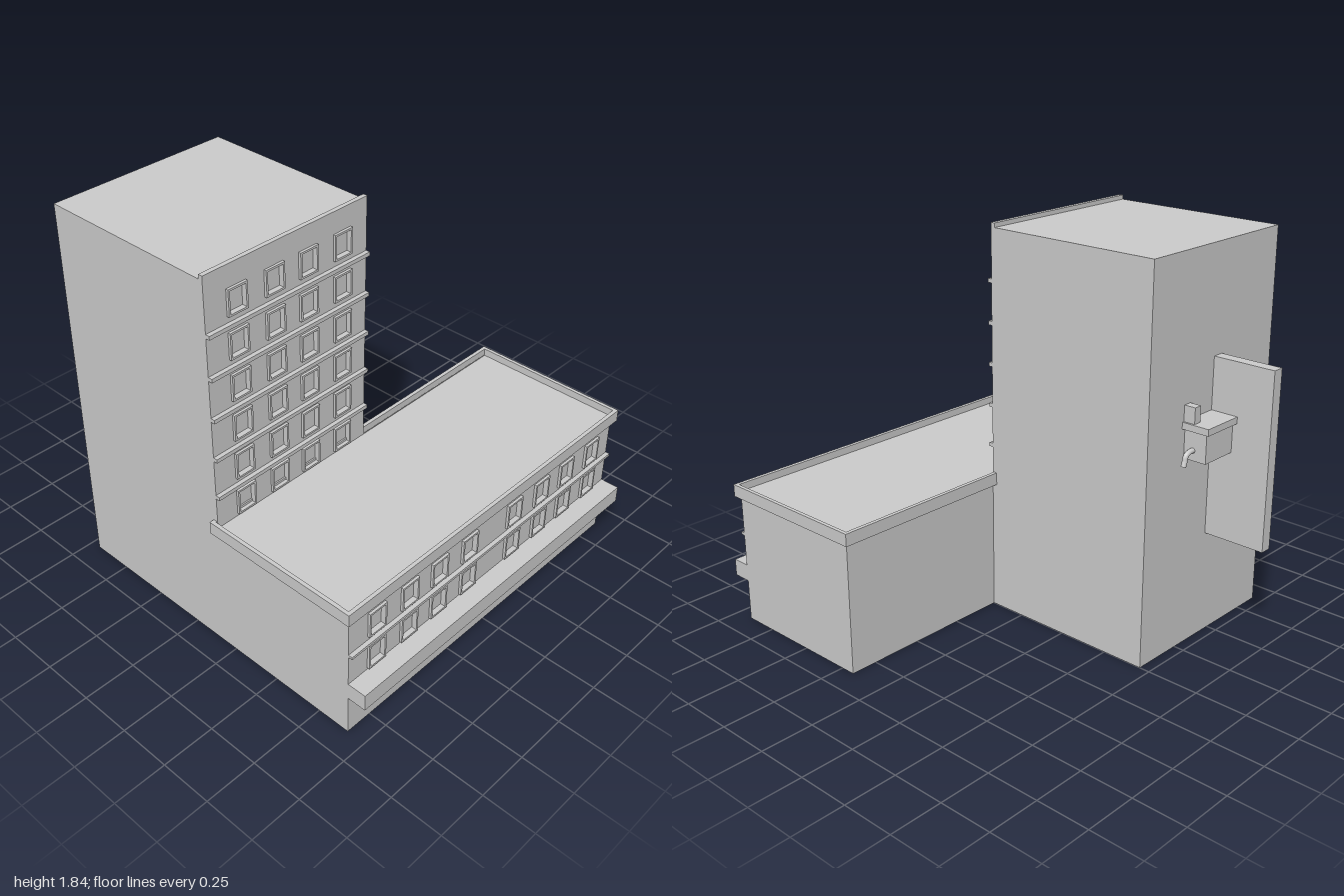
import * as THREE from 'three';

const mat = new THREE.MeshStandardMaterial({ color: 0xcccccc, side: THREE.DoubleSide });

function add(parent, name, geometry, x = 0, y = 0, z = 0) {
  const mesh = new THREE.Mesh(geometry, mat);
  mesh.name = name;
  mesh.position.set(x, y, z);
  parent.add(mesh);
  return mesh;
}

// Solid box given by its limits; hollow boxes have no back face
function box(parent, name, [x0, x1], [y0, y1], [z0, z1], hollow = false) {
  const g = new THREE.BoxGeometry(x1 - x0, y1 - y0, z1 - z0);
  if (hollow) g.setIndex(Array.from(g.index.array).slice(0, 30));
  return add(parent, name, g, (x0 + x1) / 2, (y0 + y1) / 2, (z0 + z1) / 2);
}

function rect(x0, x1, y0, y1, Type = THREE.Shape) {
  return new Type([[x0, y0], [x1, y0], [x1, y1], [x0, y1]].map(p => new THREE.Vector2(...p)));
}

// Flat upright wall facing +z / -z
function wallZ(parent, name, [x0, x1], [y0, y1], z, back) {
  const m = add(parent, name, new THREE.PlaneGeometry(x1 - x0, y1 - y0), (x0 + x1) / 2, (y0 + y1) / 2, z);
  if (back) m.rotation.y = Math.PI;
}

// Flat upright wall facing sign * x
function wallX(parent, name, x, [y0, y1], [z0, z1], sign) {
  const m = add(parent, name, new THREE.PlaneGeometry(z1 - z0, y1 - y0), x, (y0 + y1) / 2, (z0 + z1) / 2);
  m.rotation.y = sign * Math.PI / 2;
}

// Horizontal slab surface facing up
function deck(parent, name, [x0, x1], y, [z0, z1]) {
  const m = add(parent, name, new THREE.PlaneGeometry(x1 - x0, z1 - z0), (x0 + x1) / 2, y, (z0 + z1) / 2);
  m.rotation.x = -Math.PI / 2;
}

// Projecting frame with a pane set back behind it
function framedWindow(parent, [x0, x1, y0, y1], z) {
  const win = new THREE.Group();
  win.name = 'window';
  const t = 0.009, depth = 0.026;
  const ring = rect(x0, x1, y0, y1);
  ring.holes.push(rect(x0 + t, x1 - t, y0 + t, y1 - t, THREE.Path));
  add(win, 'windowFrame', new THREE.ExtrudeGeometry(ring, { depth, bevelEnabled: false }), 0, 0, z - 0.014);
  wallZ(win, 'windowPane', [x0, x1], [y0, y1], z - 0.012);
  parent.add(win);
}

// Front wall with openings, windows and hollow ledges
function facade(parent, name, [x0, x1], [y0, y1], z, windows, ledges) {
  const g = new THREE.Group();
  g.name = name;
  const shape = rect(x0, x1, y0, y1);
  const e = 0.001;
  for (const [a, b, c, d] of windows) shape.holes.push(rect(a + e, b - e, c + e, d - e, THREE.Path));
  for (const [c, d] of ledges) shape.holes.push(rect(x0 + e, x1 - e, c + e, d - e, THREE.Path));
  add(g, 'frontWall', new THREE.ShapeGeometry(shape), 0, 0, z);
  windows.forEach(w => framedWindow(g, w, z));
  ledges.forEach(([c, d, out]) => box(g, 'ledge', [x0, x1], [c, d], [z, z + out], true));
  parent.add(g);
}

export function createModel() {
  const root = new THREE.Group();
  root.name = 'building';
  const left = [-0.72, -0.525, -0.34, -0.145], right = [0.16, 0.355, 0.54, 0.735];
  const grid = (xs, rows) => rows.flatMap(([a, b]) => xs.map(x => [x - 0.05, x + 0.05, a, b]));

  // Low front block, open underneath
  const base = new THREE.Group();
  base.name = 'lowBlock';
  root.add(base);
  const groundWindows = [[-0.77, -0.575], [-0.47, -0.385], [-0.285, -0.09]].map(w => [...w, 0.075, 0.155]);
  facade(base, 'lowFacade', [-0.88, 0.88], [0, 0.65], 0.91,
    [...groundWindows, ...grid([...left, ...right], [[0.283, 0.407], [0.457, 0.581]])],
    [[0.195, 0.275, 0.09], [0.425, 0.438, 0.02]]);
  wallX(base, 'rightWall', 0.88, [0, 0.65], [0.18, 0.91], 1);
  wallX(base, 'leftWall', -0.88, [0, 0.65], [0.18, 0.91], -1);
  wallZ(base, 'backWall', [0, 0.88], [0, 0.65], 0.18, true);
  deck(base, 'lowRoof', [-0.89, 0.89], 0.645, [0.165, 0.92]);

  // Raised rim round the low roof
  const rim = rect(-0.903, 0.9, -0.932, -0.157);
  rim.holes.push(rect(-0.885, 0.883, -0.914, -0.175, THREE.Path));
  add(base, 'roofRim', new THREE.ExtrudeGeometry(rim, { depth: 0.058, bevelEnabled: false }), 0, 0.62, 0)
    .rotation.x = -Math.PI / 2;

  // Tower behind
  const tower = new THREE.Group();
  tower.name = 'tower';
  root.add(tower);
  const rows = [[0.658, 0.78]], ledges = [];
  for (let i = 0; i < 5; i++) {
    rows.push([0.842 + i * 0.193, 0.968 + i * 0.1915]);
    ledges.push([0.8 + i * 0.192, 0.818 + i * 0.192, 0.02]);
  }
  facade(tower, 'towerFacade', [-0.88, 0], [0.64, 1.82], 0.18, grid(left, rows), ledges);
  wallX(tower, 'towerRightWall', 0, [0, 1.815], [-0.7, 0.18], 1);
  wallX(tower, 'towerLeftWall', -0.88, [0, 1.815], [-0.7, 0.18], -1);
  wallZ(tower, 'towerBackWall', [-0.88, 0], [0, 1.815], -0.7, true);
  deck(tower, 'towerRoof', [-0.88, 0], 1.815, [-0.7, 0.18]);
  deck(tower, 'towerFloor', [-0.88, 0], 0.625, [-0.7, 0.17]);
  box(tower, 'parapet', [-0.88, 0], [1.81, 1.835], [0.16, 0.181]);

  // Upright blade and cabinet on the back wall
  const rear = new THREE.Group();
  rear.name = 'rearFixture';
  root.add(rear);
  box(rear, 'blade', [-0.5, -0.445], [0.495, 1.32], [-1, -0.7]);
  box(rear, 'cabinet', [-0.63, -0.255], [0.91, 1.05], [-0.812, -0.7]);
  box(rear, 'cabinetLid', [-0.65, -0.235], [1.047, 1.078], [-0.833, -0.7]);
  box(rear, 'cabinetBlock', [-0.285, -0.245], [1.078, 1.152], [-0.755, -0.7]);

  // Bent pipe at each end of the cabinet
  for (const s of [-1, 1]) {
    const path = new THREE.CatmullRomCurve3([[0.17, 0.955], [0.21, 0.957], [0.235, 0.945], [0.243, 0.92], [0.25, 0.9]]
      .map(([x, y]) => new THREE.Vector3(-0.4425 + s * x, y, -0.745)));
    add(rear, 'pipe', new THREE.TubeGeometry(path, 16, 0.012, 10));
  }
  return root;
}
